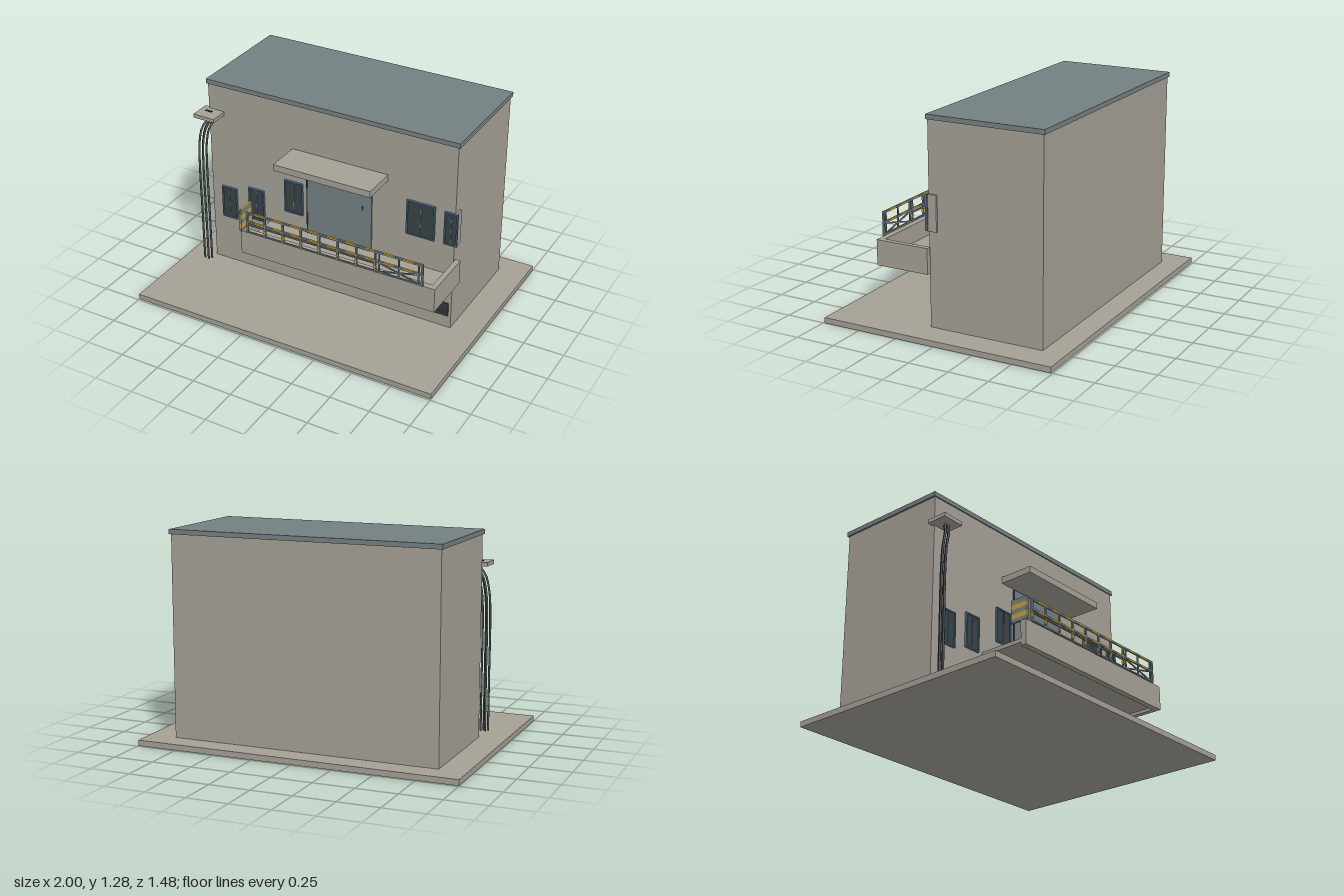
import * as THREE from 'three';

const mat = (name, color, side = THREE.FrontSide) => {
  const m = new THREE.MeshStandardMaterial({ color, side });
  m.name = name;
  return m;
};

export function createModel() {
  const root = new THREE.Group();
  root.name = 'building';
  const concrete = mat('concrete', 0xa5a096);
  const slate = mat('slate', 0x748083);
  const dark = mat('darkPanel', 0x3b4345);
  const blue = mat('blueFrame', 0x4f7590);
  const yellow = mat('yellowPaint', 0xcda03c);
  const pipeGrey = mat('pipeGrey', 0x535a5b);

  // Box given by its min and max on each axis
  const box = (parent, name, m, x0, x1, y0, y1, z0, z1) => {
    const mesh = new THREE.Mesh(new THREE.BoxGeometry(x1 - x0, y1 - y0, z1 - z0), m);
    mesh.position.set((x0 + x1) / 2, (y0 + y1) / 2, (z0 + z1) / 2);
    mesh.name = name;
    parent.add(mesh);
    return mesh;
  };
  const group = (name) => {
    const g = new THREE.Group();
    g.name = name;
    root.add(g);
    return g;
  };

  // Ground slab, house block and roof
  box(root, 'groundSlab', concrete, -1, 1, 0, 0.035, -0.74, 0.74);
  box(root, 'houseBlock', concrete, -0.835, 0.825, 0.035, 1.256, -0.6, 0.12);
  box(root, 'roof', slate, -0.845, 0.835, 1.256, 1.285, -0.61, 0.127);

  // Balcony: floor with a front and a right parapet
  const balcony = group('balcony');
  box(balcony, 'balconyFloor', concrete, -0.42, 0.835, 0.385, 0.41, 0.12, 0.415);
  box(balcony, 'frontParapet', concrete, -0.42, 0.865, 0.365, 0.52, 0.412, 0.45);
  box(balcony, 'rightParapet', concrete, 0.833, 0.865, 0.365, 0.52, 0.112, 0.412);

  // Door with canopy and handle
  box(root, 'canopy', concrete, -0.25, 0.39, 0.922, 0.963, 0.12, 0.34);
  box(root, 'door', slate, -0.145, 0.29, 0.41, 0.915, 0.12, 0.129);
  box(root, 'doorEdge', dark, -0.152, -0.145, 0.41, 0.915, 0.12, 0.131);
  box(root, 'doorHandle', dark, 0.227, 0.232, 0.68, 0.71, 0.129, 0.135);

  // Windows: frame bars around dark panes
  const addWindow = (x0, x1, y0, y1, panes) => {
    const g = group('window');
    const t = 0.008;
    box(g, 'pane', dark, x0 + t, x1 - t, y0 + t, y1 - t, 0.12, 0.127);
    box(g, 'frameBottom', blue, x0, x1, y0, y0 + t, 0.12, 0.134);
    box(g, 'frameTop', blue, x0, x1, y1 - t, y1, 0.12, 0.134);
    box(g, 'frameLeft', blue, x1 - t, x1, y0 + t, y1 - t, 0.12, 0.134);
    box(g, 'frameRight', blue, x0, x0 + t, y0 + t, y1 - t, 0.12, 0.134);
    for (let i = 1; i < panes; i++) {
      const x = x0 + ((x1 - x0) * i) / panes;
      box(g, 'mullion', blue, x - 0.002, x + 0.002, y0 + t, y1 - t, 0.126, 0.131);
    }
  };
  addWindow(-0.762, -0.655, 0.353, 0.57, 2);
  addWindow(-0.567, -0.456, 0.393, 0.612, 2);
  addWindow(-0.307, -0.18, 0.52, 0.74, 2);
  addWindow(0.518, 0.7, 0.612, 0.84, 2);
  addWindow(0.76, 0.845, 0.615, 0.83, 2);
  box(root, 'cornerWindowReveal', concrete, 0.76, 0.838, 0.613, 0.83, 0.065, 0.119);

  // Vent grille
  const vent = group('vent');
  box(vent, 'ventBack', dark, 0.635, 0.808, 0.117, 0.206, 0.12, 0.129);
  for (let i = 0; i < 5; i++) {
    const y = 0.13 + i * 0.0135;
    for (const x of [0.645, 0.725]) box(vent, 'slat', pipeGrey, x, x + 0.073, y, y + 0.005, 0.129, 0.134);
  }

  // Railing: rails striped slate and yellow, posts between them
  const railing = group('railing');
  const stripedRail = (x0, x1, y, h) => {
    const step = 0.061;
    const n = Math.round((x1 - x0) / step);
    const w = (x1 - x0) / n;
    for (let i = 0; i < n; i++) {
      box(railing, 'railSegment', i % 2 ? yellow : slate, x0 + i * w, x0 + (i + 1) * w, y - h / 2, y + h / 2, 0.447, 0.459);
    }
  };
  stripedRail(-0.375, 0.79, 0.659, 0.012);
  stripedRail(-0.375, 0.79, 0.597, 0.012);
  box(railing, 'middleRail', slate, -0.375, 0.49, 0.574, 0.582, 0.448, 0.457);
  box(railing, 'bottomRail', slate, -0.375, 0.79, 0.522, 0.531, 0.448, 0.457);
  for (let i = 0; i < 8; i++) {
    const x = -0.37 + i * 0.1225;
    box(railing, 'post', slate, x - 0.006, x + 0.006, 0.52, 0.654, 0.447, 0.458);
    box(railing, 'postBand', yellow, x - 0.0065, x + 0.0065, 0.545, 0.568, 0.446, 0.4595);
  }
  box(railing, 'endPost', slate, 0.78, 0.792, 0.52, 0.654, 0.447, 0.458);

  // Crossed braces of the end bay
  for (const s of [-1, 1]) {
    const brace = box(railing, 'brace', slate, 0.49, 0.785, 0.555, 0.563, 0.449, 0.456);
    brace.rotation.z = s * 0.24;
  }
  for (const x of [0.51, 0.635, 0.76]) box(railing, 'bayBar', slate, x, x + 0.007, 0.525, 0.655, 0.448, 0.457);

  // Banded panel closing the end of the railing
  const bands = [0.52, 0.543, 0.572, 0.603, 0.632, 0.662];
  for (let i = 0; i < 5; i++) {
    box(railing, 'endPanelBand', i % 2 ? yellow : slate, -0.422, -0.408, bands[i], bands[i + 1], 0.34, 0.46);
  }
  box(railing, 'endPanelCap', yellow, -0.422, -0.408, 0.662, 0.665, 0.34, 0.45);

  // Pipes rising to a small bracket shelf
  const pipes = group('pipes');
  for (let i = 0; i < 4; i++) {
    const x = -0.862 + i * 0.0135;
    const z = i % 2 ? 0.195 : 0.214;
    const pts = [
      [x, 0.055, z], [x, 0.4, z], [x, 0.75, z], [x + 0.008, 0.9, z],
      [x + 0.03, 1.0, z - 0.006], [x + 0.052, 1.045, z - 0.03], [x + 0.056, 1.07, z - 0.04],
    ].map((p) => new THREE.Vector3(...p));
    const pipe = new THREE.Mesh(new THREE.TubeGeometry(new THREE.CatmullRomCurve3(pts), 32, 0.0065, 8), pipeGrey);
    pipe.name = 'pipe';
    pipes.add(pipe);
    const cap = new THREE.Mesh(new THREE.CircleGeometry(0.0065, 8).rotateX(Math.PI / 2), pipeGrey);
    cap.position.copy(pts[0]);
    cap.name = 'pipeEnd';
    pipes.add(cap);
  }
  const shelf = box(pipes, 'pipeShelf', concrete, -0.872, -0.728, 1.066, 1.09, 0.105, 0.237);
  shelf.rotation.z = -0.02;
  for (let i = 0; i < 3; i++) {
    const x = -0.83 + i * 0.016;
    box(pipes, 'shelfBolt', dark, x, x + 0.009, 1.085, 1.097, 0.155, 0.167);
  }
  return root;
}
